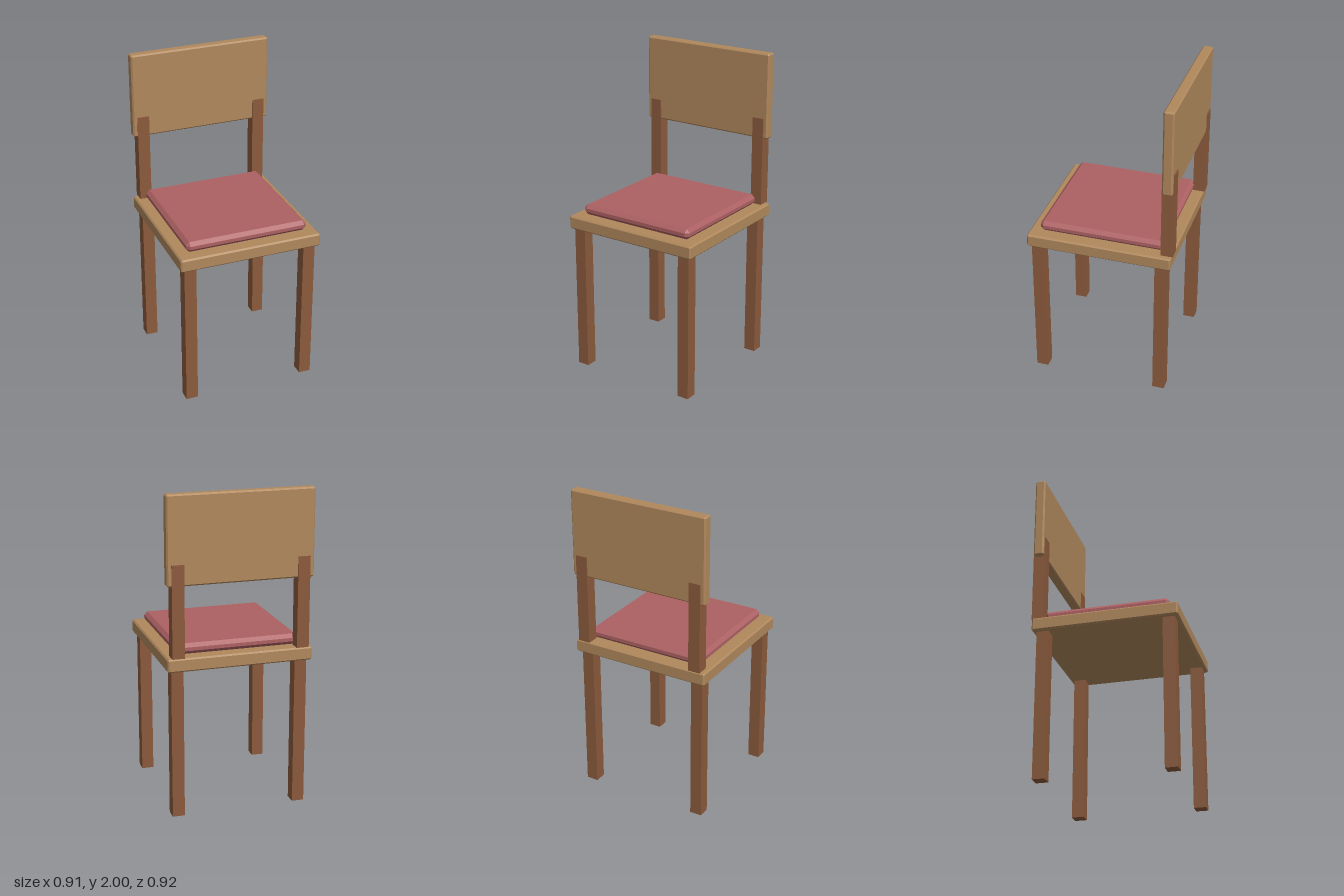
import * as THREE from 'three';
import { ConvexGeometry } from 'three/addons/geometries/ConvexGeometry.js';

const material = (name, color) => {
  const m = new THREE.MeshStandardMaterial({ color });
  m.name = name;
  return m;
};

// Box with all edges and corners cut flat by c
function chamferedBox(w, h, d, c) {
  const points = [];
  for (const x of [-1, 1]) for (const y of [-1, 1]) for (const z of [-1, 1]) {
    for (let full = 0; full < 3; full++) {
      const [px, py, pz] = [w, h, d].map((s, i) => s / 2 - (i === full ? 0 : c));
      points.push(new THREE.Vector3(x * px, y * py, z * pz));
    }
  }
  return new ConvexGeometry(points);
}

export function createModel() {
  const chair = new THREE.Group();
  chair.name = 'chair';
  const lightWood = material('light wood', 0xb0885c);
  const darkWood = material('dark wood', 0x8b5a3c);
  const fabric = material('red fabric', 0xad6163);

  const add = (name, geometry, mat, x, y, z) => {
    const mesh = new THREE.Mesh(geometry, mat);
    mesh.name = name;
    mesh.position.set(x, y, z);
    chair.add(mesh);
  };

  // Seat board, cushion and back panel
  add('seat', chamferedBox(0.908, 0.083, 0.908, 0.009), lightWood, 0, 0.979, 0.003);
  add('cushion', chamferedBox(0.784, 0.066, 0.781, 0.022), fabric, 0, 1.056, 0.002);
  add('backrest', chamferedBox(0.908, 0.54, 0.064, 0.009), lightWood, 0, 1.73, -0.422);

  // Four legs below the seat, two posts above it
  const leg = new THREE.BoxGeometry(0.076, 0.938, 0.076);
  const post = new THREE.BoxGeometry(0.076, 0.566, 0.076);
  for (const [side, x] of [['left', 0.389], ['right', -0.389]]) {
    add(`${side} front leg`, leg, darkWood, x, 0.469, 0.397);
    add(`${side} back leg`, leg, darkWood, x, 0.469, -0.387);
    add(`${side} back post`, post, darkWood, x, 1.307, -0.422);
  }
  return chair;
}
